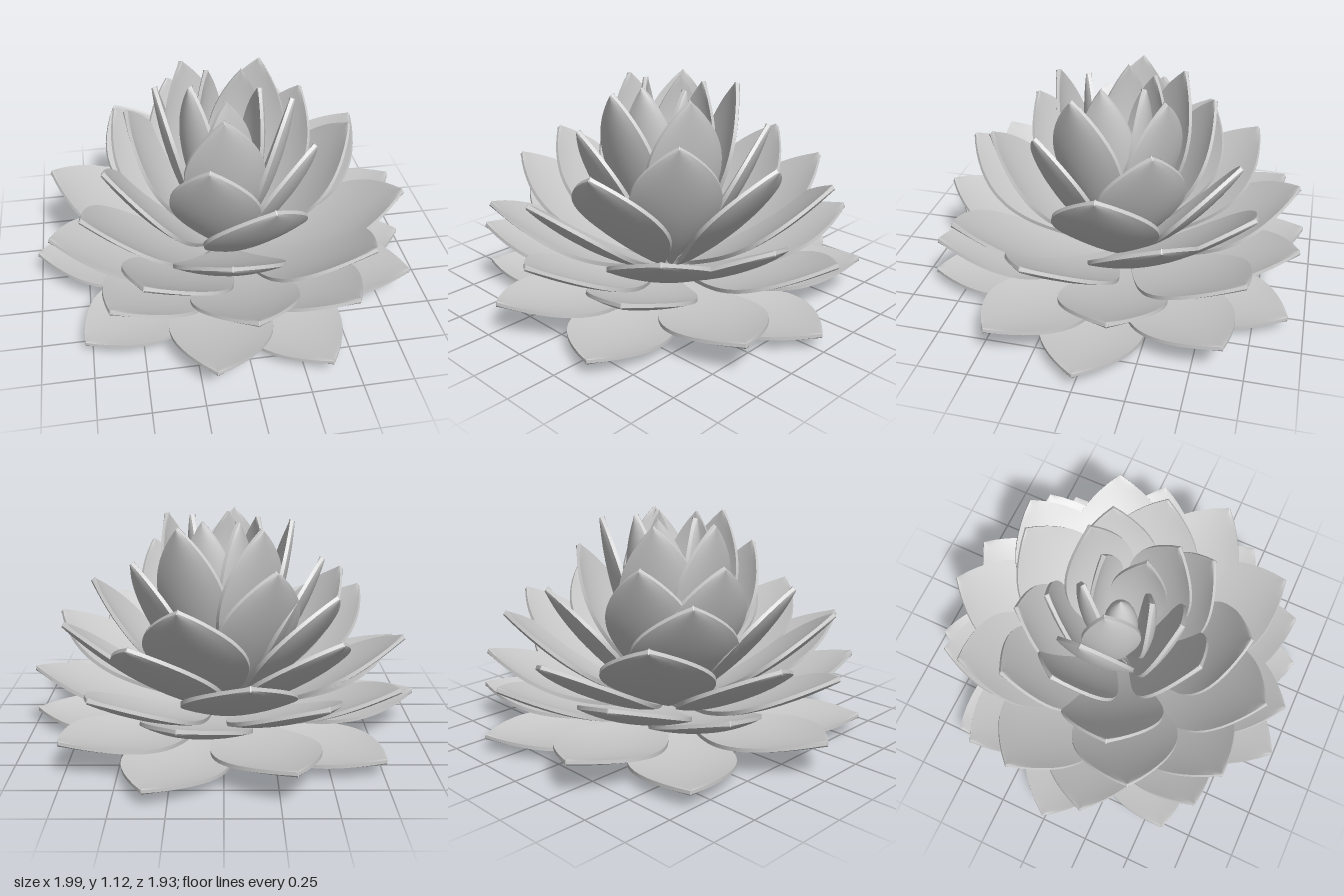
import * as THREE from 'three';

const material = new THREE.MeshStandardMaterial({ color: 0xcccccc });
const rad = THREE.MathUtils.degToRad;

// Whorls from the lowest to the innermost: tip radius, tip height, petal width,
// twist about the petal's own axis, and the compass angle of each petal.
const whorls = [
  { r: 0.985, y: 0.09, width: 0.51, roll: 0, angles: [0, 67.7, 142.4, 219.8, 291.3] },
  { r: 1.0, y: 0.19, width: 0.51, roll: 0, angles: [26.6, 101, 179.5, 251.6, 319.7] },
  { r: 0.96, y: 0.38, width: 0.52, roll: 0, angles: [-9.3, 58.3, 132.5, 209.6, 282] },
  { r: 0.94, y: 0.43, width: 0.53, roll: 0, angles: [90, 167.8, 241, 310] },
  { r: 0.915, y: 0.56, width: 0.54, roll: 0, angles: [16, 48.2, 122.3, 193.3, 263] },
  { r: 0.84, y: 0.67, width: 0.54, roll: 0, angles: [-25, 97, 153, 231, 300] },
  { r: 0.66, y: 0.81, width: 0.52, roll: 0, angles: [-3, 79, 161, 216, 288] },
  { r: 0.5, y: 0.94, width: 0.45, roll: 0, angles: [-29, 41, 107, 195, 241] },
  { r: 0.34, y: 1.11, width: 0.4, roll: 8, angles: [30, 100, 187, 238, 310] },
  { r: 0.17, y: 1.12, width: 0.29, roll: 30, angles: [-52, 22, 98, 180, 246] },
];

// A petal along +z: a slab thinning to its rim, narrow at the base, broad past
// the middle, pointed at the tip, sagging along its length and slightly cupped.
function petalGeometry(length, width) {
  const geometry = new THREE.BoxGeometry(2, 1, 1, 10, 1, 24);
  const p = geometry.attributes.position;
  for (let i = 0; i < p.count; i++) {
    const u = p.getX(i);
    const t = p.getZ(i) + 0.5;
    const outline = Math.pow(Math.max(0, Math.sin(Math.PI * Math.pow(t, 1.42))), 0.88);
    const spread = Math.max(outline, 0.14 * (1 - t), 0.01);
    const sag = -0.062 * 4 * t * (1 - t);
    const cup = 0.035 * u * u * spread;
    const thickness = 0.046 * (1 - 0.45 * u * u) * (1 - 0.35 * t);
    p.setXYZ(i, u * spread * width / 2, sag + cup + p.getY(i) * thickness, t * length);
  }
  geometry.computeVertexNormals();
  return geometry;
}

export function createModel() {
  const model = new THREE.Group();
  model.name = 'rosette';

  whorls.forEach(({ r, y, width, roll, angles }, k) => {
    const whorl = new THREE.Group();
    whorl.name = `petalWhorl${k + 1}`;
    const baseRadius = 0.02;
    const baseY = 0.085 + 0.008 * k;
    const rise = y - baseY;
    const run = r - baseRadius;
    const geometry = petalGeometry(Math.hypot(rise, run), width);
    for (const angle of angles) {
      const a = rad(angle);
      const petal = new THREE.Mesh(geometry, material);
      petal.name = 'petal';
      petal.position.set(baseRadius * Math.cos(a), baseY, baseRadius * Math.sin(a));
      petal.rotation.set(-Math.atan2(rise, run), Math.PI / 2 - a, rad(roll), 'YXZ');
      whorl.add(petal);
    }
    model.add(whorl);
  });

  // Closed bud in the heart of the rosette
  const profile = new THREE.SplineCurve([
    new THREE.Vector2(0.02, 0.08),
    new THREE.Vector2(0.06, 0.3),
    new THREE.Vector2(0.09, 0.6),
    new THREE.Vector2(0.06, 0.8),
    new THREE.Vector2(0, 0.92),
  ]).getPoints(16);
  const bud = new THREE.Mesh(new THREE.LatheGeometry(profile, 20), material);
  bud.name = 'bud';
  model.add(bud);

  return model;
}
